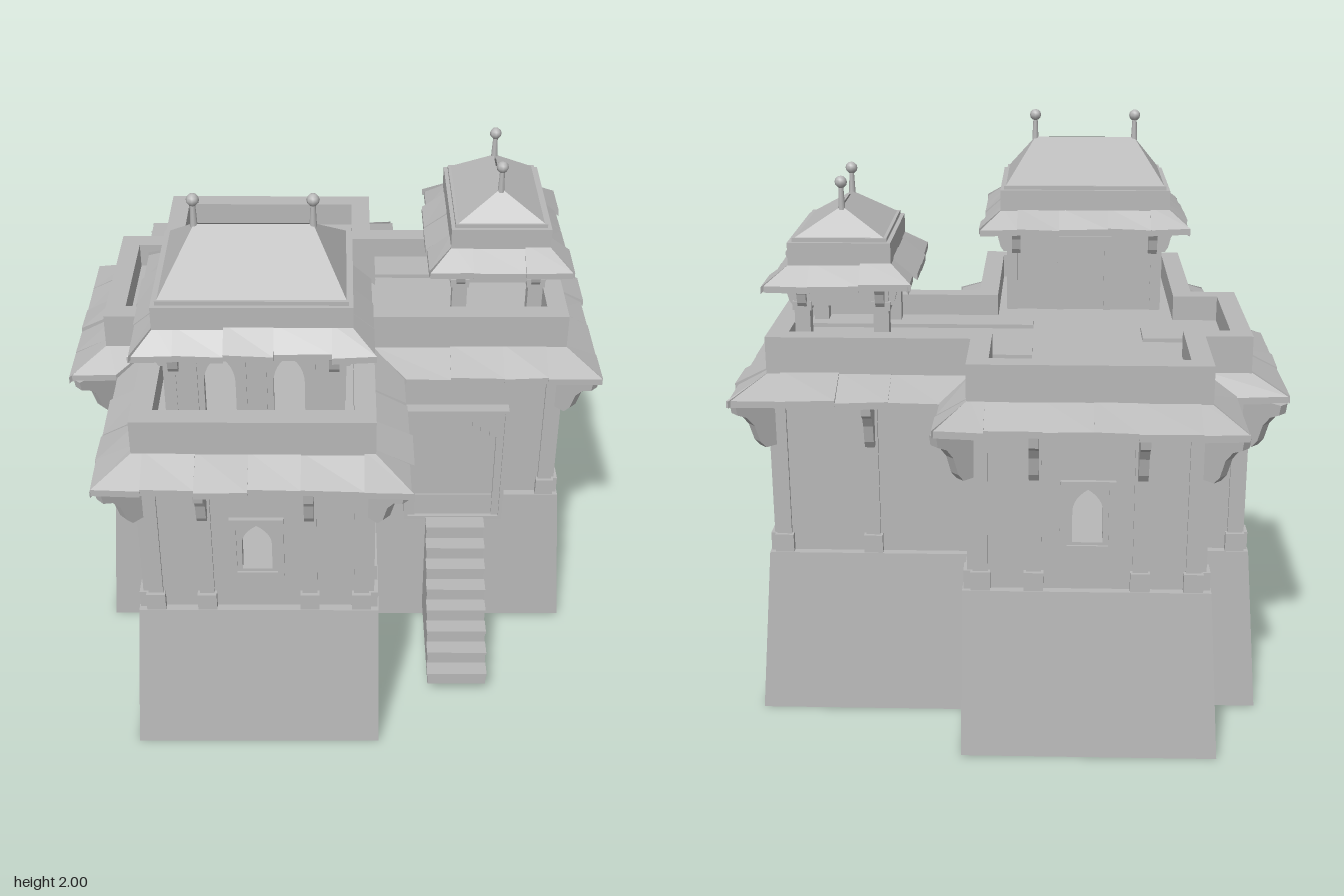
import * as THREE from 'three';

const stone = new THREE.MeshStandardMaterial({ color: 0xb8b8b8, side: THREE.DoubleSide });
stone.name = 'grey stone';

let seed = 7;
const rnd = () => ((seed = (seed * 16807) % 2147483647) / 2147483647) * 2 - 1;

// Plan of the building as [x, z] corners, eave reach of each side, and helpers for such outlines
const PLAN = [[-.655, -.785], [.128, -.785], [.128, -.5], [.815, -.5], [.815, .138], [.128, .138],
  [.128, .775], [-.655, .775], [-.655, .138], [-.815, .138], [-.815, -.45], [-.655, -.45]];
const REACH = [.115, .095, .122, .117, .115, .117, .118, .118, .105, .115, .085, .105];
const OUTER_CORNERS = [0, 1, 3, 4, 6, 7, 9, 10];
const rect = (cx, cz, hx, hz) => [[cx - hx, cz - hz], [cx + hx, cz - hz], [cx + hx, cz + hz], [cx - hx, cz + hz]];
const lerp = (a, b, t) => [a[0] + (b[0] - a[0]) * t, a[1] + (b[1] - a[1]) * t];
const normal = (a, b) => [Math.sign(b[1] - a[1]), -Math.sign(b[0] - a[0])];
// Outline moved outwards by one distance, or by one distance per side
const grow = (p, o) => p.map((c, i) => {
  const n = p.length, h = (i + n - 1) % n, m = normal(p[h], c), k = normal(c, p[(i + 1) % n]);
  const om = o[h] ?? o, ok = o[i] ?? o;
  return [c[0] + om * m[0] + ok * k[0], c[1] + om * m[1] + ok * k[1]];
});

function add(parent, name, geo) {
  const m = new THREE.Mesh(geo, stone);
  m.name = name;
  parent.add(m);
  return m;
}
function box(parent, name, w, h, d, x, y, z) {
  return add(parent, name, new THREE.BoxGeometry(w, h, d).translate(x, y, z));
}
function fromPoints(pts) {
  const g = new THREE.BufferGeometry();
  g.setAttribute('position', new THREE.Float32BufferAttribute(pts.flat(), 3));
  g.computeVertexNormals();
  return g;
}
// Sloping sides between two outlines
function loft(a, ya, b, yb) {
  const pts = [];
  a.forEach((_, i) => {
    const j = (i + 1) % a.length, at = k => [a[k][0], ya, a[k][1]], bt = k => [b[k][0], yb, b[k][1]];
    pts.push(at(i), bt(i), at(j), at(j), bt(i), bt(j));
  });
  return fromPoints(pts);
}
const shapeOf = p => new THREE.Shape(p.map(c => new THREE.Vector2(c[0], c[1])));
function slab(p, y0, y1, hole) {
  const s = shapeOf(p);
  if (hole) s.holes.push(shapeOf(hole));
  return new THREE.ExtrudeGeometry(s, { depth: y1 - y0, bevelEnabled: false }).rotateX(Math.PI / 2).translate(0, y1, 0);
}
// Upright plate with openings, from z0 to z1
function plate(s, holes, z0, z1) {
  s.holes.push(...holes);
  return new THREE.ExtrudeGeometry(s, { depth: z1 - z0, bevelEnabled: false, curveSegments: 6 }).translate(0, 0, z0);
}
const panel = (x, y0, y1, hw) => shapeOf([[x - hw, y0], [x + hw, y0], [x + hw, y1], [x - hw, y1]]);
function arch(x, y0, y1, hw) {
  const s = new THREE.Shape(), sp = y0 + (y1 - y0) * .6;
  s.moveTo(x - hw, y0).lineTo(x + hw, y0).lineTo(x + hw, sp);
  s.quadraticCurveTo(x + hw * .95, y1 - .03, x, y1);
  s.quadraticCurveTo(x - hw * .95, y1 - .03, x - hw, sp);
  return s;
}

// Row of uneven sloping stone tiles around an outline, mitred at the corners
function eave(parent, name, plan, reach, yIn, yOut, t) {
  const g = new THREE.Group(), inner = grow(plan, -.01), outer = grow(plan, reach);
  g.name = name;
  parent.add(g);
  inner.forEach((a, i) => {
    const j = (i + 1) % inner.length, n = normal(a, inner[j]), depth = reach[i] + .01;
    const shift = (c, y, e) => [c[0] + n[0] * e, y, c[1] + n[1] * e];
    const len = Math.hypot(outer[j][0] - outer[i][0], outer[j][1] - outer[i][1]);
    const count = Math.max(1, Math.round(len / .17));
    // Straight cuts between tiles, given as [outer point, inner point]
    const cuts = [[outer[i], a]];
    for (let k = 1; k < count; k++) {
      const c = lerp(outer[i], outer[j], (k + rnd() * .12) / count);
      cuts.push([c, [c[0] - n[0] * depth, c[1] - n[1] * depth]]);
    }
    cuts.push([outer[j], inner[j]]);
    for (let k = 0; k < count; k++) {
      const o = rnd() * .009, dy = rnd() * .005, tilt = rnd() * .004, [p, q] = [cuts[k], cuts[k + 1]];
      const r = [shift(p[0], yOut + dy + tilt, o), shift(q[0], yOut + dy - tilt, o),
        shift(q[1], yIn + dy, 0), shift(p[1], yIn + dy, 0)];
      const low = r.map(v => [v[0], v[1] - t, v[2]]);
      const pts = [r[0], r[2], r[1], r[0], r[3], r[2], low[0], low[1], low[2], low[0], low[2], low[3]];
      for (let m = 0; m < 4; m++) {
        const s = (m + 1) % 4;
        pts.push(low[m], r[m], low[s], low[s], r[m], r[s]);
      }
      add(g, 'eaveTile', fromPoints(pts));
    }
  });
}
// Group at a point whose local z faces along n
function facing(parent, name, x, z, n) {
  const g = new THREE.Group();
  g.name = name;
  g.position.set(x, 0, z);
  g.rotation.y = Math.atan2(n[0], n[1]);
  parent.add(g);
  return g;
}
// Group on one side of an outline, with the side's length
function side(parent, name, p, i) {
  const a = p[i], b = p[(i + 1) % p.length];
  return [facing(parent, name, (a[0] + b[0]) / 2, (a[1] + b[1]) / 2, normal(a, b)), Math.hypot(b[0] - a[0], b[1] - a[1])];
}
function bracket(parent, u, top, h, reach, w) {
  const prof = [[-.15, 0], [1, 0], [.96, -.2], [.7, -.3], [.5, -.5], [.36, -.85], [.2, -1], [-.15, -1]];
  const s = shapeOf(prof.map(c => [c[0] * reach, top + c[1] * h]).reverse());
  add(parent, 'eaveBracket', new THREE.ExtrudeGeometry(s, { depth: w, bevelEnabled: false })
    .rotateY(-Math.PI / 2).translate(u + w / 2, 0, 0));
}
function finial(parent, x, y, z) {
  add(parent, 'finialStem', new THREE.CylinderGeometry(.008, .012, .08, 8).translate(x, y + .03, z));
  add(parent, 'finialBall', new THREE.SphereGeometry(.021, 8, 6).translate(x, y + .083, z));
}
// Hipped roof on a block, with an eave and two finials
function pavilionTop(g, cx, cz, hx, hz, y, blockH, peak, rx, rz) {
  add(g, 'roofBlock', slab(rect(cx, cz, hx, hz), y - .06, y + blockH));
  add(g, 'roofRim', slab(rect(cx, cz, hx - .014, hz - .014), y + blockH, y + blockH + .014));
  add(g, 'hippedRoof', loft(rect(cx, cz, hx - .018, hz - .018), y + blockH + .01,
    rect(cx, cz, Math.max(rx, .003), Math.max(rz, .003)), peak));
  eave(g, 'pavilionEave', rect(cx, cz, hx, hz), [.072, .072, .072, .072], y, y - .065, .022);
  for (const s of [-1, 1]) finial(g, cx + s * rx, peak, cz + s * rz);
}

// Window, door, end pilaster and bracketed pilaster positions along each side of the plan
const SIDES = [
  { win: 0, ends: [-.35, .35], mid: [-.175, .175] }, { ends: [.11] }, { ends: [-.31], mid: [0] },
  { win: 0, ends: [-.285, .285], mid: [-.135, .135] }, { door: -.03, ends: [.31] },
  { win: .02, ends: [-.285], mid: [-.15, .165] }, { win: 0, ends: [-.35, .35], mid: [-.175, .175] },
  { win: -.02, ends: [.285], mid: [.15, -.165] }, { ends: [-.05] },
  { win: 0, ends: [-.26, .26], mid: [-.135, .135] }, { ends: [.05] }, { ends: [-.13] },
];

export function createModel() {
  seed = 7;
  const model = new THREE.Group();
  model.name = 'courtyardPalace';

  // Tapering plinth, open below
  const plinthTop = grow(PLAN, .018);
  add(model, 'plinth', loft(plinthTop.map(([x, z]) => [x * 1.055, z * 1.055]), 0, plinthTop, .595));
  add(model, 'plinthTop', slab(plinthTop, .58, .595));

  // Walls with windows, door, pilasters and brackets
  SIDES.forEach(({ win, door, ends, mid = [] }, i) => {
    const [g, len] = side(model, 'wallSide', PLAN, i), hw = len / 2;
    const hole = () => arch(win, .765, .95, .05);
    add(g, 'wall', plate(panel(0, .59, 1.24, hw - .008), win === undefined ? [] : [hole()], -.05, -.01));
    if (win !== undefined) {
      add(g, 'windowFrame', plate(panel(win, .73, .98, .09), [panel(win, .755, .957, .068)], -.01, .006));
      add(g, 'windowSurround', plate(panel(win, .74, .97, .08), [hole()], -.012, -.002));
    }
    if (door !== undefined) {
      const c = [[.145, .495], [.145, .87], [.12, .87], [.12, .895], [.085, .895], [.085, .915], [.055, .915], [.055, .94]];
      const cusps = [...c, ...c.map(([x, y]) => [-x, y]).reverse()].map(([x, y]) => [x + door, y]);
      add(g, 'doorFrame', plate(panel(door, .49, .99, .186), [panel(door, .505, .98, .172)], -.01, .035));
      add(g, 'doorArch', plate(panel(door, .495, .985, .18), [shapeOf(cusps)], -.01, .026));
      box(g, 'doorPanel', .32, .47, .022, door, .735, 0);
    }
    for (const u of [...ends, ...mid]) {
      box(g, 'pilaster', .05, .6, .02, u, .89, -.008);
      box(g, 'pilasterFoot', .065, .065, .035, u, .627, -.003);
    }
    for (const u of mid) bracket(g, u, 1.165, .175, .11, .032);
  });
  // Corner brackets point diagonally outwards
  for (const i of OUTER_CORNERS) {
    const c = PLAN[i], o = grow(PLAN, 1)[i];
    const g = facing(model, 'cornerBracket', c[0], c[1], [o[0] - c[0], o[1] - c[1]]);
    bracket(g, 0, 1.165, .175, .14, .035);
  }

  // Eave, parapet and terrace
  eave(model, 'mainEave', PLAN, REACH, 1.25, 1.185, .024);
  add(model, 'parapet', slab(PLAN, 1.18, 1.37, grow(PLAN, -.07)));
  add(model, 'terrace', slab(grow(PLAN, -.03), 1.2, 1.28));
  box(model, 'terraceHatch', .31, .012, .235, -.235, 1.286, -.462);
  box(model, 'hatchCover', .215, .01, .215, -.278, 1.296, -.45);
  box(model, 'backTerraceStep', .81, .014, .14, .33, 1.287, -.36);
  box(model, 'frontTerraceStep', .81, .014, .13, .33, 1.287, .005);
  box(model, 'leftTerraceStep', .16, .014, .16, -.54, 1.287, -.14);

  // Front stairs with slightly projecting treads
  const steps = [[.15, .5], [.15, .055], [.605, .055]];
  for (let i = 0; i < 8; i++) {
    const y = .11 + i * .0557, z = .605 - i * .0535;
    steps.push([z, y], [z - .0535, y]);
    box(model, 'stairTread', .22, .012, .06, .4475, y - .005, z - .023);
  }
  add(model, 'stairs', new THREE.ExtrudeGeometry(shapeOf(steps), { depth: .215, bevelEnabled: false })
    .rotateY(-Math.PI / 2).translate(.555, 0, 0));

  // Walled front pavilion
  const hall = new THREE.Group(), hx = -.259, hz = .437, hallPlan = rect(hx, hz, .288, .23);
  hall.name = 'frontPavilion';
  model.add(hall);
  for (let i = 0; i < 4; i++) {
    const [g, len] = side(hall, 'pavilionSide', hallPlan, i), hw = len / 2;
    const openings = [[], [0], [-.11, .11], [0]][i];
    add(g, 'pavilionWall', plate(panel(0, 1.27, 1.64, hw), openings.map(u => arch(u, 1.3, 1.545, .05)), -.04, -.004));
    for (const u of openings) {
      add(g, 'archFrame', plate(panel(u, 1.275, 1.575, .085), [panel(u, 1.28, 1.56, .07)], -.01, .004));
    }
    if (i === 0) {
      add(g, 'backDoorFrame', plate(panel(0, 1.275, 1.56, .1), [panel(0, 1.28, 1.54, .075)], -.01, .006));
    }
    for (const s of [-1, 1]) bracket(g, s * (hw - .035), 1.61, .11, .07, .032);
  }
  pavilionTop(hall, hx, hz, .312, .248, 1.67, .066, 1.895, .187, 0);

  // Open right pavilion on posts
  const kiosk = new THREE.Group(), kx = .567, kz = -.18;
  kiosk.name = 'openPavilion';
  model.add(kiosk);
  for (const sx of [-1, 1]) {
    for (const sz of [-1, 1]) {
      box(kiosk, 'post', .052, .27, .052, kx + sx * .133, 1.405, kz + sz * .203);
      box(kiosk, 'postCapital', .064, .03, .064, kx + sx * .133, 1.455, kz + sz * .203);
    }
    box(kiosk, 'sideBeam', .045, .11, .45, kx + sx * .133, 1.51, kz);
    box(kiosk, 'crossBeam', .31, .11, .045, kx, 1.51, kz + sx * .203);
  }
  const kioskPlan = rect(kx, kz, .156, .226);
  for (let i = 0; i < 4; i++) {
    const [g, len] = side(kiosk, 'kioskSide', kioskPlan, i);
    for (const s of [-1, 1]) bracket(g, s * (len / 2 - .025), 1.545, .09, .06, .03);
  }
  pavilionTop(kiosk, kx, kz, .172, .246, 1.61, .064, 1.775, 0, .137);

  return model;
}
